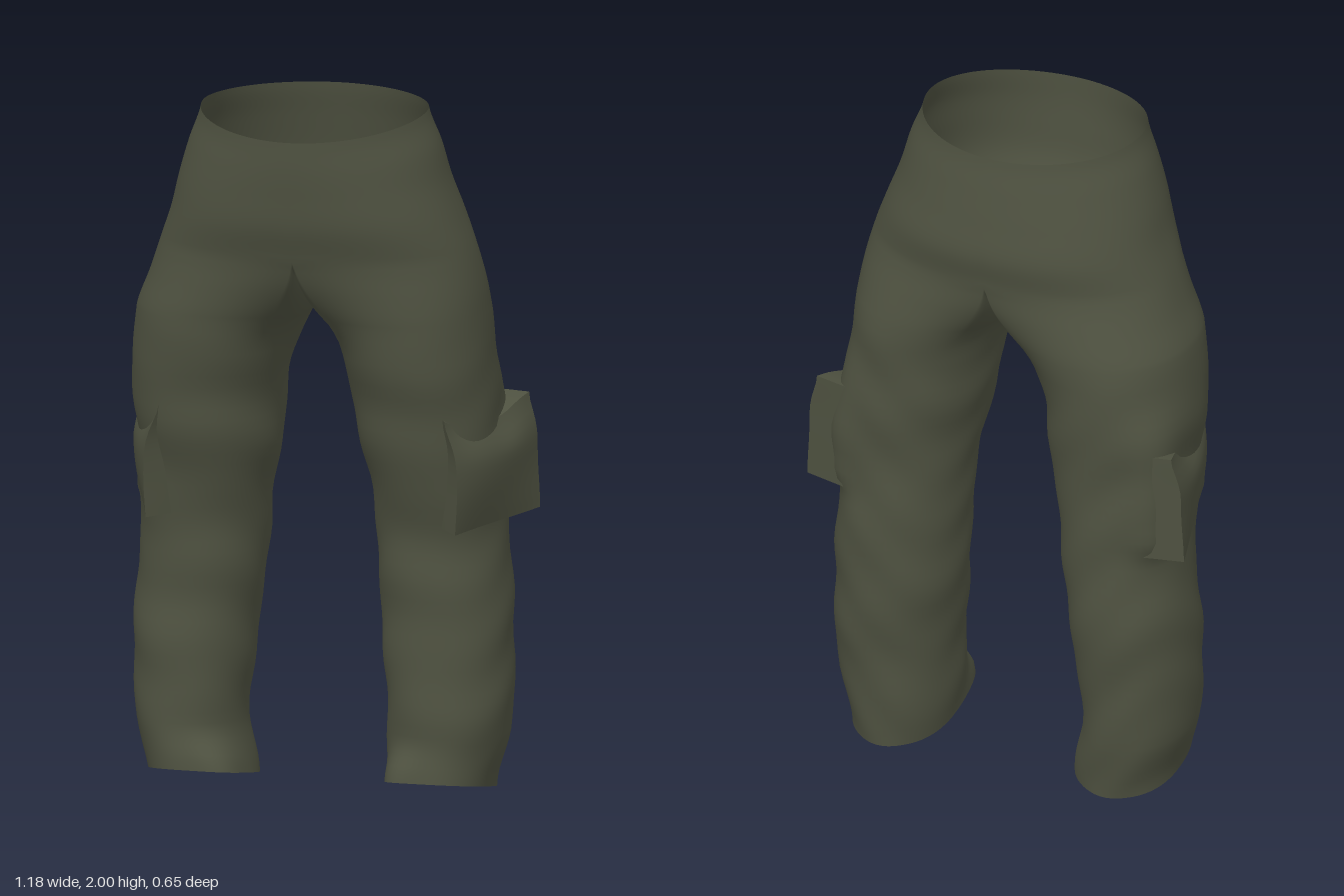
import * as THREE from 'three';
import { mergeGeometries, mergeVertices } from 'three/addons/utils/BufferGeometryUtils.js';

// Cross-section sizes: y, outer +x, outer -x, inner +x, inner -x, front z, back z
const ROWS = [
  [2.00, 0.325, 0.325, 0, 0, 0.33, -0.265],
  [1.90, 0.36, 0.36, 0, 0, 0.33, -0.285],
  [1.80, 0.385, 0.39, 0, 0, 0.325, -0.305],
  [1.70, 0.42, 0.415, 0, 0, 0.315, -0.32],
  [1.60, 0.455, 0.45, 0, 0, 0.285, -0.305],
  [1.50, 0.478, 0.485, 0.02, 0.02, 0.268, -0.31],
  [1.40, 0.49, 0.525, 0.05, 0.045, 0.245, -0.31],
  [1.20, 0.50, 0.54, 0.095, 0.105, 0.21, -0.30],
  [1.00, 0.52, 0.53, 0.13, 0.13, 0.17, -0.29],
  [0.80, 0.525, 0.53, 0.16, 0.165, 0.12, -0.29],
  [0.60, 0.535, 0.54, 0.165, 0.185, 0.115, -0.30],
  [0.40, 0.545, 0.55, 0.185, 0.21, 0.125, -0.285],
  [0.20, 0.535, 0.535, 0.195, 0.225, 0.135, -0.27],
  [0.05, 0.50, 0.50, 0.205, 0.195, 0.15, -0.25],
];
const CROTCH = 4;      // table row where the legs part
const STEPS = 6;       // rings between table rows
const OUTER = 44;      // points from front seam round to back seam
const INNER = 18;      // points along the inside of the leg
const RING = OUTER + INNER;

const { clamp, lerp, smoothstep } = THREE.MathUtils;
const bend = (v, n) => Math.sign(v) * Math.pow(Math.abs(v), 2 / n);
const bump = (v, width) => Math.exp(-v * v / (width * width));

// Smooth interpolation of the table
function sample(r) {
  const i = Math.min(Math.floor(r), ROWS.length - 2), t = r - i;
  const at = k => ROWS[clamp(k, 0, ROWS.length - 1)];
  const [a, b, c, d] = [at(i - 1), at(i), at(i + 1), at(i + 2)];
  return b.map((p, k) => k === 0 ? lerp(p, c[0], t) :
    p + 0.5 * t * (c[k] - a[k] + t * (2 * a[k] - 5 * p + 4 * c[k] - d[k] + t * (3 * (p - c[k]) + d[k] - a[k]))));
}

// One point of the cloth; side is +1 or -1, u runs round the ring
function clothPoint(r, u, side) {
  const [y0, oR, oL, iR, iL, zf, zb] = sample(r);
  const out = side > 0 ? oR : oL, inn = Math.max(0, side > 0 ? iR : iL);
  const cz = (zf + zb) / 2, rz = (zf - zb) / 2;
  const leg = r <= CROTCH ? 0 : smoothstep(1.6 - y0, -0.03, 0.28);
  const inside = u > OUTER;
  const t = inside ? (u - OUTER) / INNER : u / OUTER;

  // Half of the seat, closed by the crotch seam
  const a = Math.PI * (0.5 - t);
  const n = lerp(1.95, a > 0 ? 2.3 : 2.15, smoothstep(2 - y0, 0, 0.4));
  const seatX = inside || u === 0 || u === OUTER ? 0 : out * bend(Math.cos(a), n);
  const seatZ = inside ? cz - rz * Math.cos(Math.PI * t) : cz + rz * bend(Math.sin(a), n);

  // Full oval of the leg, drawn out behind the pocket and at the inner front of the hem
  const open = 2.25;
  const q = inside ? -open - t * (2 * Math.PI - 2 * open) : open - t * 2 * open;
  const turn = q < -Math.PI ? q + 2 * Math.PI : q;
  const crease = 0.018 * Math.sin(19 * y0 + 2.2 * Math.sin(q + side) + side)
    + 0.012 * Math.sin(31 * y0 - 3 * Math.cos(q) + 2 * Math.sin(2 * q));
  const k = 1 + crease * smoothstep(1.5 - y0, 0, 0.4)
    + 0.17 * bump(turn + 0.72, 0.38) * smoothstep(y0, 0.78, 0.86) * (1 - smoothstep(y0, 1.08, 1.32))
    + 0.16 * bump(turn - 2.2, 0.4) * (1 - smoothstep(y0, 0.05, 0.18));
  const ox = k * (out - inn) / 2 * bend(Math.cos(q), 2.15);
  const legX = (out + inn) / 2 + ox;
  const legZ = cz + k * rz * bend(Math.sin(q), 2.15);

  const x = lerp(seatX, legX, leg), z = lerp(seatZ, legZ, leg);
  let y = y0;
  y -= 0.045 * Math.pow(Math.max(0, z / 0.33), 1.5) * smoothstep(y0, 1.75, 2);   // dipped waist
  y += 0.2 * z * (1 - smoothstep(y0, 0.05, 0.3));                                // sloping hem
  if (inside) y -= 0.07 * Math.sin(Math.PI * t) * smoothstep(y0, 1.3, 1.6);      // crotch sag
  return [side * x, y, z];
}

// Seat half and leg on one side
function clothHalf(side) {
  const rings = (ROWS.length - 1) * STEPS, pos = [], idx = [];
  for (let j = 0; j <= rings; j++)
    for (let u = 0; u < RING; u++) pos.push(...clothPoint(j / STEPS, u, side));
  for (let j = 0; j < rings; j++) {
    const columns = j < CROTCH * STEPS ? OUTER : RING;
    for (let u = 0; u < columns; u++) {
      const v = (u + 1) % RING;
      const a = j * RING + u, b = j * RING + v, c = a + RING, d = b + RING;
      if (side > 0) idx.push(a, c, b, b, c, d);
      else idx.push(a, b, c, b, d, c);
    }
  }
  const g = new THREE.BufferGeometry();
  g.setAttribute('position', new THREE.Float32BufferAttribute(pos, 3));
  g.setIndex(idx);
  return g;
}

// Pocket bag: a box that narrows into the leg at the front, with a sagging, rounded-in top
function pocketBag(side) {
  const w = 0.16, h = 0.30, d = 0.44;
  const g = new THREE.BoxGeometry(w, h, d, 4, 14, 18);
  const p = g.attributes.position;
  for (let i = 0; i < p.count; i++) {
    let x = p.getX(i), y = p.getY(i), z = p.getZ(i);
    const s = z / (d / 2), v = y / (h / 2), depth = 0.5 - x / w, face = 1 - depth;
    const top = smoothstep(v, 0.1, 1);
    z *= 1 - (z > 0 ? 0.5 : 0.05) * depth;
    x += face * (0.022 * (1 - s * s) * (1 - v * v) - 0.035 * top * top + 0.004 * Math.sin(18 * y + 9 * z));
    y += top * (0.035 * s * s - 0.008 + 0.006 * Math.sin(6 * s));
    p.setXYZ(i, x * side, y, z);
  }
  if (side < 0) {
    // Keep faces outward on the mirrored side
    const f = g.index.array;
    for (let k = 0; k < f.length; k += 3) [f[k], f[k + 1]] = [f[k + 1], f[k]];
  }
  g.computeVertexNormals();
  return g;
}

export function createModel() {
  const cloth = new THREE.MeshStandardMaterial({ color: 0x4e5140, side: THREE.DoubleSide });
  cloth.name = 'olive cloth';
  const model = new THREE.Group();
  model.name = 'cargoTrousers';
  const add = (name, geometry) => {
    const mesh = new THREE.Mesh(geometry, cloth);
    mesh.name = name;
    model.add(mesh);
    return mesh;
  };

  // Seat and both legs as one smooth cloth
  const body = mergeVertices(mergeGeometries([clothHalf(1), clothHalf(-1)]), 1e-4);
  body.computeVertexNormals();
  add('seatAndLegs', body);

  // Slanted side pockets
  for (const side of [1, -1]) {
    const pocket = add(side > 0 ? 'leftPocket' : 'rightPocket', pocketBag(side));
    pocket.position.set(side * 0.443, 0.965, -0.042);
    pocket.rotation.y = side * -0.3;
  }
  return model;
}
